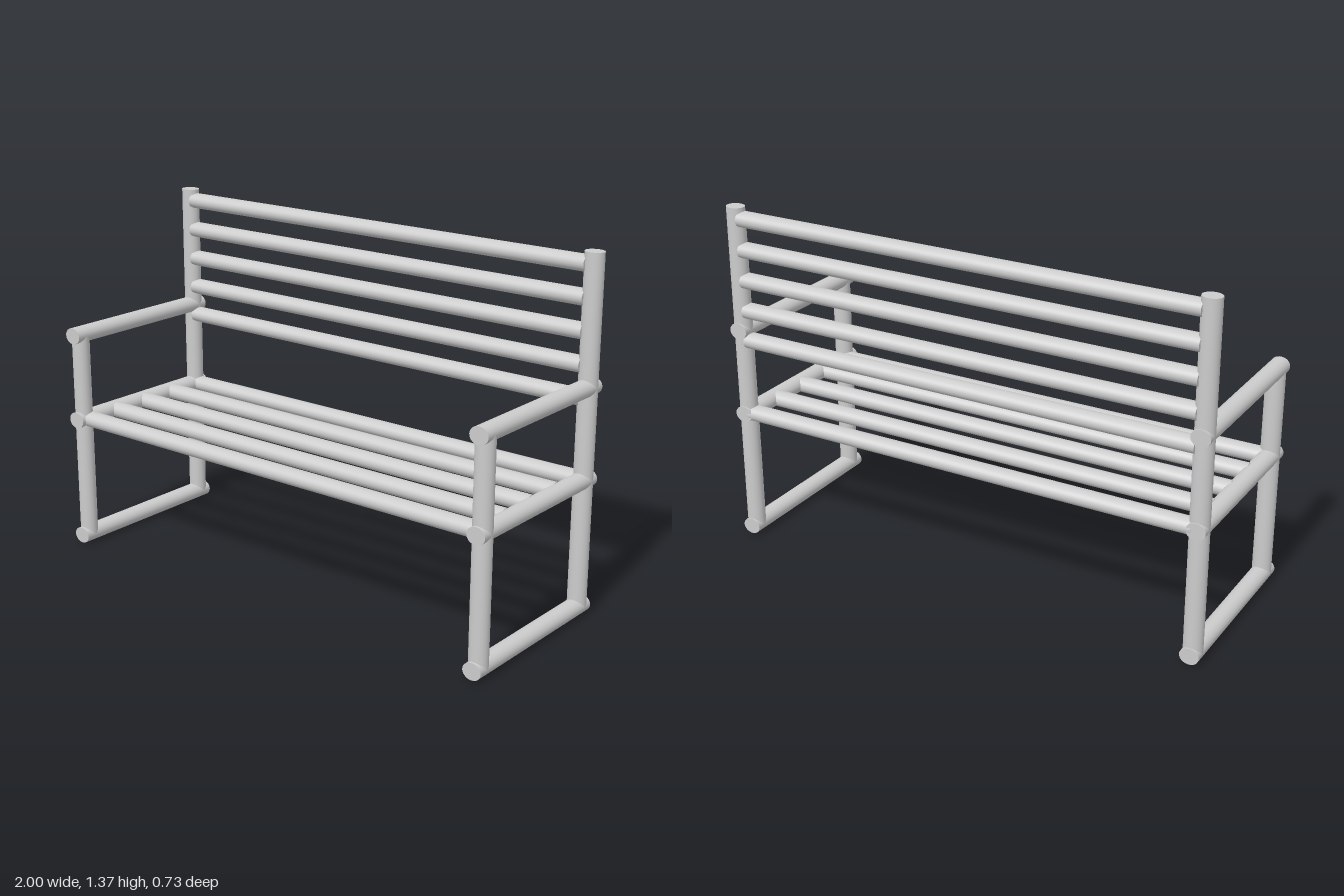
import * as THREE from 'three';

const material = new THREE.MeshStandardMaterial({ color: 0xcccccc });

// Slightly oval bar along one axis; sx, sy, sz are its full extents
function bar(name, axis, [sx, sy, sz], [x, y, z]) {
  const geometry = new THREE.CylinderGeometry(0.5, 0.5, 1, 32);
  if (axis === 'x') geometry.rotateZ(Math.PI / 2);
  if (axis === 'z') geometry.rotateX(Math.PI / 2);
  geometry.scale(sx, sy, sz);
  const mesh = new THREE.Mesh(geometry, material);
  mesh.name = name;
  mesh.position.set(x, y, z);
  return mesh;
}

export function createModel() {
  const bench = new THREE.Group();
  bench.name = 'bench';

  const wide = 0.075, thin = 0.065; // bar thickness across x/z and y
  const sideX = 0.9625, postZ = 0.325;
  const footY = 0.034, seatY = 0.53, armY = 0.88, topY = 1.373;

  // Side frames: two posts joined by foot, seat and arm rails
  for (const [side, s] of [['left', 1], ['right', -1]]) {
    const frame = new THREE.Group();
    frame.name = side + 'Frame';
    const post = (name, top, z) => bar(name, 'y',
      [wide, top - footY, thin], [s * sideX, (top + footY) / 2, z]);
    frame.add(post('frontPost', armY, postZ - 0.003));
    frame.add(post('backPost', topY, -postZ - 0.003));
    for (const [name, y] of [['footRail', footY], ['seatRail', seatY], ['armRest', armY]]) {
      frame.add(bar(name, 'z', [wide, thin, 0.728], [s * sideX, y, 0]));
    }
    bench.add(frame);
  }

  // Seat slats from back to front
  const seat = new THREE.Group();
  seat.name = 'seat';
  for (const z of [-0.328, -0.168, -0.005, 0.157, 0.312]) {
    seat.add(bar('seatSlat', 'x', [1.89, 0.062, wide], [0, seatY, z]));
  }

  // Backrest slats from bottom to top
  const backrest = new THREE.Group();
  backrest.name = 'backrest';
  for (let i = 0; i < 5; i++) {
    backrest.add(bar('backSlat', 'x', [1.88, 0.062, wide], [0, 0.838 + i * 0.122, -0.328]));
  }

  bench.add(seat, backrest);
  return bench;
}
